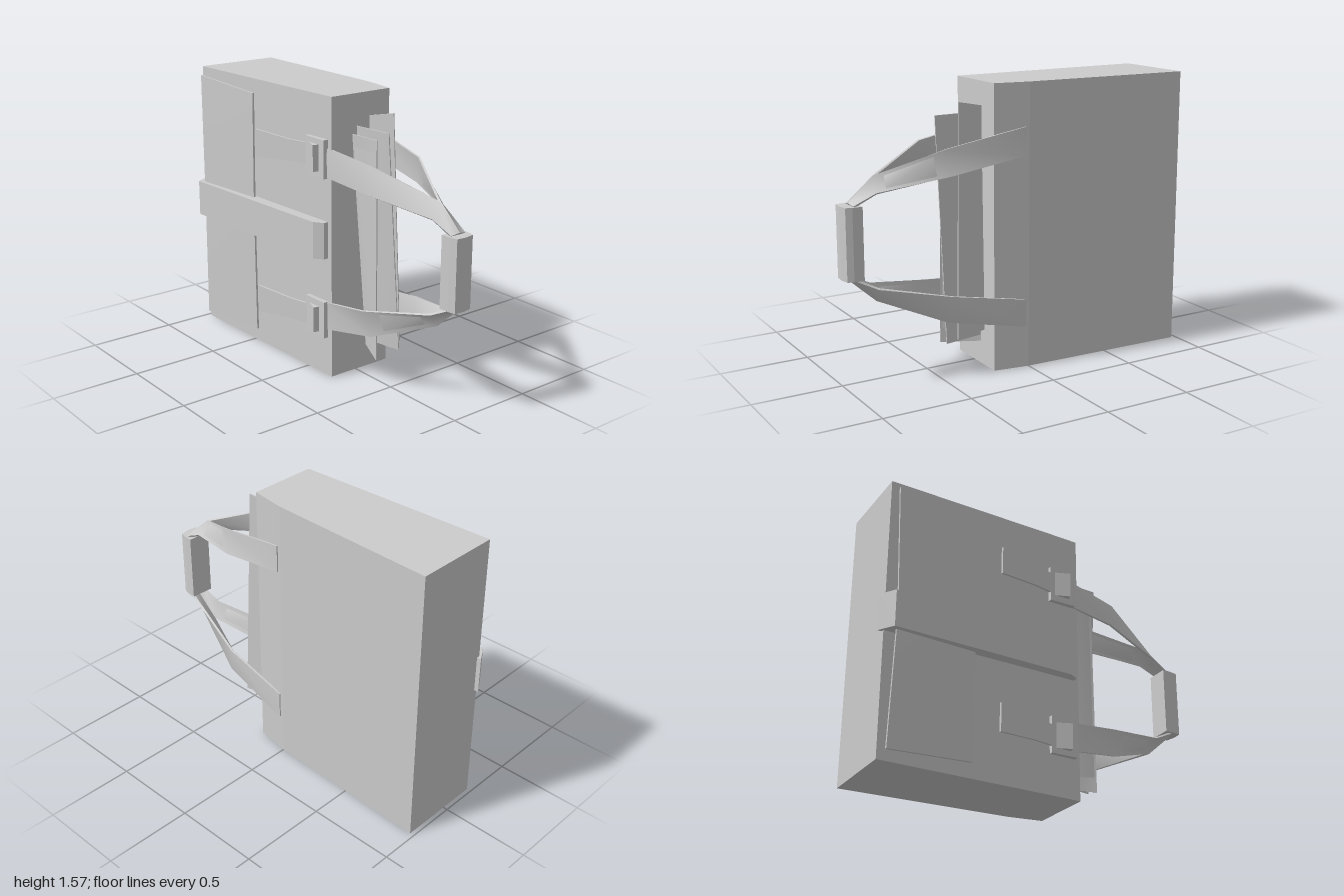
import * as THREE from 'three';

const mat = new THREE.MeshStandardMaterial({ color: 0xcccccc, side: THREE.DoubleSide });
const MID = 0.783; // height of the horizontal symmetry plane

// Strip of a given thickness through sections [edgeA, edgeB]; each face is smooth along its length
function band(name, sections, thickness) {
  const secs = sections.map(s => s.map(p => new THREE.Vector3(...p)));
  const centre = secs.map(([a, b]) => a.clone().add(b).multiplyScalar(0.5));
  const rings = secs.map(([a, b], i) => {
    const tangent = centre[Math.min(i + 1, secs.length - 1)].clone().sub(centre[Math.max(i - 1, 0)]);
    const n = tangent.cross(b.clone().sub(a)).normalize().multiplyScalar(thickness / 2);
    return [a.clone().add(n), b.clone().add(n), b.clone().sub(n), a.clone().sub(n)];
  });
  const pos = [], idx = [];
  for (let side = 0; side < 4; side++) {
    const base = pos.length / 3;
    rings.forEach((r, i) => {
      pos.push(...r[side].toArray(), ...r[(side + 1) % 4].toArray());
      if (i) {
        const k = base + 2 * i;
        idx.push(k - 2, k - 1, k, k - 1, k + 1, k);
      }
    });
  }
  for (const [ring, flip] of [[rings[0], true], [rings[rings.length - 1], false]]) {
    const k = pos.length / 3;
    ring.forEach(p => pos.push(...p.toArray()));
    idx.push(...(flip ? [k, k + 2, k + 1, k, k + 3, k + 2] : [k, k + 1, k + 2, k, k + 2, k + 3]));
  }
  const g = new THREE.BufferGeometry();
  g.setAttribute('position', new THREE.Float32BufferAttribute(pos, 3));
  g.setIndex(idx);
  g.computeVertexNormals();
  const m = new THREE.Mesh(g, mat);
  m.name = name;
  return m;
}

// Vertical prism from a plan outline of [x, z] points
function prism(name, outline, y0, y1) {
  const shape = new THREE.Shape(outline.map(([x, z]) => new THREE.Vector2(x, -z)));
  const g = new THREE.ExtrudeGeometry(shape, { depth: y1 - y0, bevelEnabled: false });
  g.rotateX(-Math.PI / 2).translate(0, y0, 0);
  const m = new THREE.Mesh(g, mat);
  m.name = name;
  return m;
}

export function createModel() {
  const model = new THREE.Group();
  model.name = 'satchel';

  // Tapered case
  model.add(prism('body', [[-0.208, -0.975], [0.28, -0.975], [0.25, 0], [0.22, 0.2], [-0.17, 0.2], [-0.178, 0]], 0, 1.57));

  // Slightly bulging side pocket
  model.add(band('sidePocket', [
    [[-0.238, 0.05, -0.94], [-0.206, 0.08, -0.46]],
    [[-0.248, MID, -0.92], [-0.212, MID, -0.46]],
    [[-0.238, 1.525, -0.94], [-0.206, 1.49, -0.46]],
  ], 0.012));

  // Closing strap wrapped round the back corner and along the side
  model.add(prism('sideStrap', [
    [-0.19, -0.975], [-0.19, -1.0], [-0.28, -0.945], [-0.234, 0.12],
    [-0.2, 0.17], [-0.17, 0.17], [-0.178, 0], [-0.208, -0.975],
  ], 0.685, 0.89));

  // Handle arms, tails and buckles: upper set, then mirrored for the lower set
  for (const s of [1, -1]) {
    const fy = y => MID + s * (y - MID);
    const add = (name, secs, t) =>
      model.add(band(name, secs.map(sec => sec.map(([x, y, z]) => [x, fy(y), z])), t));

    add('handleArmLeft', [
      [[0.248, 1.335, 0.02], [0.248, 1.18, 0.02]],
      [[0.198, 1.248, 0.47], [0.212, 1.105, 0.45]],
      [[0.035, 1.115, 0.805], [0.1, 1.035, 0.82]],
      [[0.035, 0.985, 0.95], [0.083, 0.975, 0.94]],
    ], 0.012);
    add('handleArmRight', [
      [[-0.178, 1.3, 0.12], [-0.178, 1.14, 0.12]],
      [[-0.118, 1.248, 0.47], [-0.148, 1.105, 0.44]],
      [[0.035, 1.115, 0.805], [-0.025, 1.035, 0.82]],
      [[0.035, 0.985, 0.95], [-0.01, 0.975, 0.94]],
    ], 0.012);
    add('strapTail', [
      [[-0.275, 1.32, -0.34], [-0.275, 1.16, -0.34]],
      [[-0.22, 1.3, -0.1], [-0.22, 1.18, -0.1]],
      [[-0.185, 1.3, 0.06], [-0.185, 1.18, 0.06]],
    ], 0.012);

    // Buckle plate with a raised wedge-shaped loop
    const buckle = new THREE.Group();
    buckle.name = 'buckle';
    const plate = new THREE.Mesh(new THREE.BoxGeometry(0.03, 0.21, 0.16), mat);
    plate.name = 'bucklePlate';
    plate.position.set(-0.186, fy(1.235), 0.09);
    const ys = [fy(1.165), fy(1.31)].sort((a, b) => a - b);
    buckle.add(plate, prism('buckleLoop', [[-0.19, 0.01], [-0.233, 0.12], [-0.19, 0.13]], ...ys));
    model.add(buckle);
  }

  // Grip: flared, gently rounded across the front
  model.add(prism('grip', [
    [-0.03, 0.895], [0.104, 0.9], [0.1, 0.955], [0.09, 0.99],
    [0.035, 1.0], [-0.02, 0.995], [-0.028, 0.95],
  ], 0.588, 0.978));

  // Loose sheets sticking out of the front: [topBack, topFront], [bottomBack, bottomFront]
  const sheets = [
    [[[0.085, 1.44, 0.2], [0.12, 1.472, 0.355]], [[0.11, 0.205, 0.2], [0.157, 0.195, 0.39]]],
    [[[0.0, 1.395, 0.2], [0.015, 1.395, 0.44]], [[0.07, 0.165, 0.2], [0.112, 0.165, 0.435]]],
    [[[-0.03, 1.355, 0.2], [-0.022, 1.355, 0.39]], [[0.075, 0.13, 0.2], [-0.022, 0.13, 0.405]]],
  ];
  sheets.forEach((s, i) => model.add(band('sheet' + (i + 1), s, 0.006)));

  return model;
}
